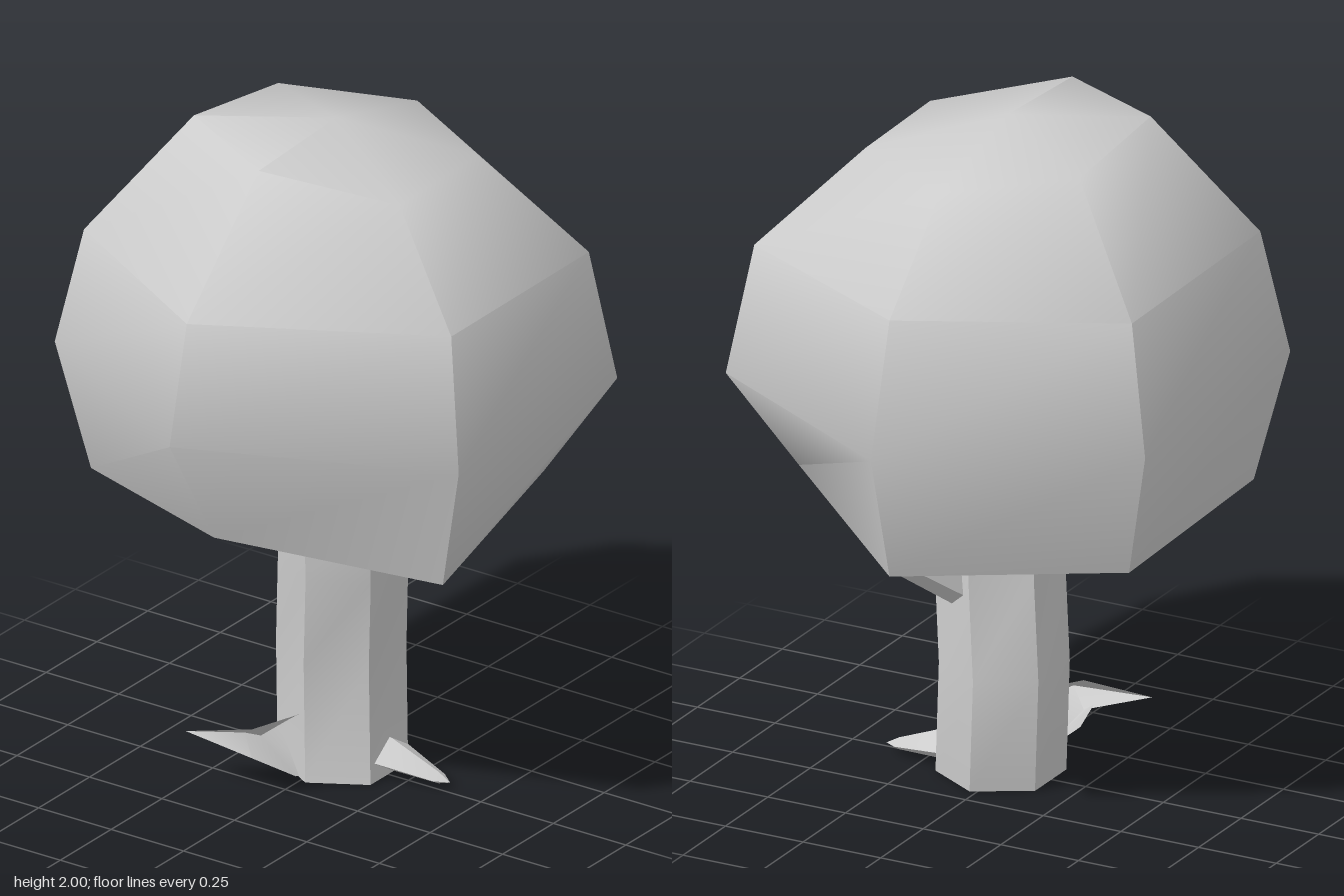
import * as THREE from 'three';
import { toCreasedNormals } from 'three/addons/utils/BufferGeometryUtils.js';

const V = (x, y, z) => new THREE.Vector3(x, y, z);
const material = new THREE.MeshStandardMaterial({ color: 0xcccccc });

// Skin a closed solid over rings of points; the ends are fanned from a centre point.
function loft(name, rings, bottom, top) {
  const pos = [];
  const tri = (...pts) => pts.forEach((p) => pos.push(p.x, p.y, p.z));
  const mean = (ring) => ring.reduce((s, p) => s.add(p), V(0, 0, 0)).divideScalar(ring.length);
  const n = rings[0].length;
  const last = rings[rings.length - 1];
  const start = bottom || mean(rings[0]);
  const end = top || mean(last);
  for (let j = 0; j < n; j++) {
    const k = (j + 1) % n;
    tri(start, rings[0][j], rings[0][k]);
    for (let i = 0; i < rings.length - 1; i++) {
      const lo = rings[i], up = rings[i + 1];
      tri(lo[j], up[j], lo[k]);
      tri(lo[k], up[j], up[k]);
    }
    tri(end, last[k], last[j]);
  }
  const geometry = new THREE.BufferGeometry();
  geometry.setAttribute('position', new THREE.Float32BufferAttribute(pos, 3));
  const mesh = new THREE.Mesh(toCreasedNormals(geometry, 0.9), material);
  mesh.name = name;
  return mesh;
}

// Polygon ring around a centre, spanned by two axes.
function ring(center, u, v, sides, phase = 0) {
  return Array.from({ length: sides }, (_, i) => {
    const a = phase + (i / sides) * Math.PI * 2;
    return center.clone().addScaledVector(u, Math.cos(a)).addScaledVector(v, Math.sin(a));
  });
}

// Straight tapered stub between two points.
function branch(name, from, to, r0, r1) {
  const d = to.clone().sub(from).normalize();
  const u = V(0, 1, 0).cross(d).normalize();
  const v = u.clone().cross(d);
  const section = (p, r) =>
    ring(p, u.clone().multiplyScalar(r), v.clone().multiplyScalar(r), 5, Math.PI / 2);
  return loft(name, [section(from, r0), section(to, r1)]);
}

// Root from upright sections [centre, horizontal half-width direction, half-height], ending in a point.
function root(name, sections, tip) {
  const rings = sections.map(([c, side, h]) => ring(c, side, V(0, h, 0), 4));
  return loft(name, rings, null, tip);
}

export function createModel() {
  const tree = new THREE.Group();
  tree.name = 'tree';

  // Crown: four uneven hexagons, from the underside upwards
  const crownRings = [
    [[0.68, 0.83, 0.01], [0.28, 0.93, 0.52], [-0.33, 0.83, 0.6],
      [-0.6, 0.92, 0], [-0.35, 0.88, -0.6], [0.33, 0.83, -0.57]],
    [[0.79, 1.22, 0.01], [0.4, 1.22, 0.69], [-0.38, 1.22, 0.69],
      [-0.79, 1.27, -0.02], [-0.4, 1.27, -0.69], [0.4, 1.22, -0.66]],
    [[0.68, 1.61, 0.01], [0.36, 1.61, 0.62], [-0.36, 1.63, 0.65],
      [-0.72, 1.63, -0.01], [-0.37, 1.63, -0.61], [0.35, 1.6, -0.59]],
    [[0.4, 1.9, 0], [0.2, 1.9, 0.35], [-0.2, 1.9, 0.36],
      [-0.38, 1.98, 0], [-0.2, 1.99, -0.35], [0.2, 1.94, -0.34]],
  ].map((r) => r.map((p) => V(...p)));
  tree.add(loft('crown', crownRings, V(0, 0.88, 0), V(0, 2, 0)));

  // Trunk: swaying six-sided column
  const trunkPath = [
    V(0.005, 0, 0.02), V(0.04, 0.35, -0.01), V(-0.015, 0.64, 0.035), V(0, 0.92, 0.02),
  ];
  const trunkRings = trunkPath.map((c) => ring(c, V(0.185, 0, 0), V(0, 0, 0.185), 6));
  tree.add(loft('trunk', trunkRings));

  // Branch stubs
  tree.add(
    branch('leftBranch', V(0.09, 0.57, 0.07), V(0.26, 0.7, 0.185), 0.06, 0.05),
    branch('frontBranch', V(-0.01, 0.68, 0.15), V(0, 0.9, 0.34), 0.05, 0.035),
    branch('backBranch', V(0, 0.67, -0.06), V(0, 0.86, -0.4), 0.06, 0.05),
  );

  // Roots: one curling up on the right side, one low at the front
  tree.add(
    root('rightRoot', [
      [V(-0.08, 0.1, 0), V(0, 0, -0.14), 0.1],
      [V(-0.17, 0.1, -0.02), V(0, 0, -0.12), 0.095],
      [V(-0.3, 0.14, -0.08), V(0.05, 0, -0.06), 0.045],
    ].map(([c, s, h]) => [c, s.negate(), h]), V(-0.355, 0.15, -0.27)),
    root('frontRoot', [
      [V(0.02, 0.06, 0.1), V(-0.09, 0, 0), 0.06],
      [V(0.02, 0.055, 0.18), V(-0.08, 0, 0), 0.05],
      [V(0.02, 0.025, 0.34), V(-0.03, 0, 0), 0.018],
    ], V(0.02, 0.02, 0.38)),
  );
  return tree;
}
